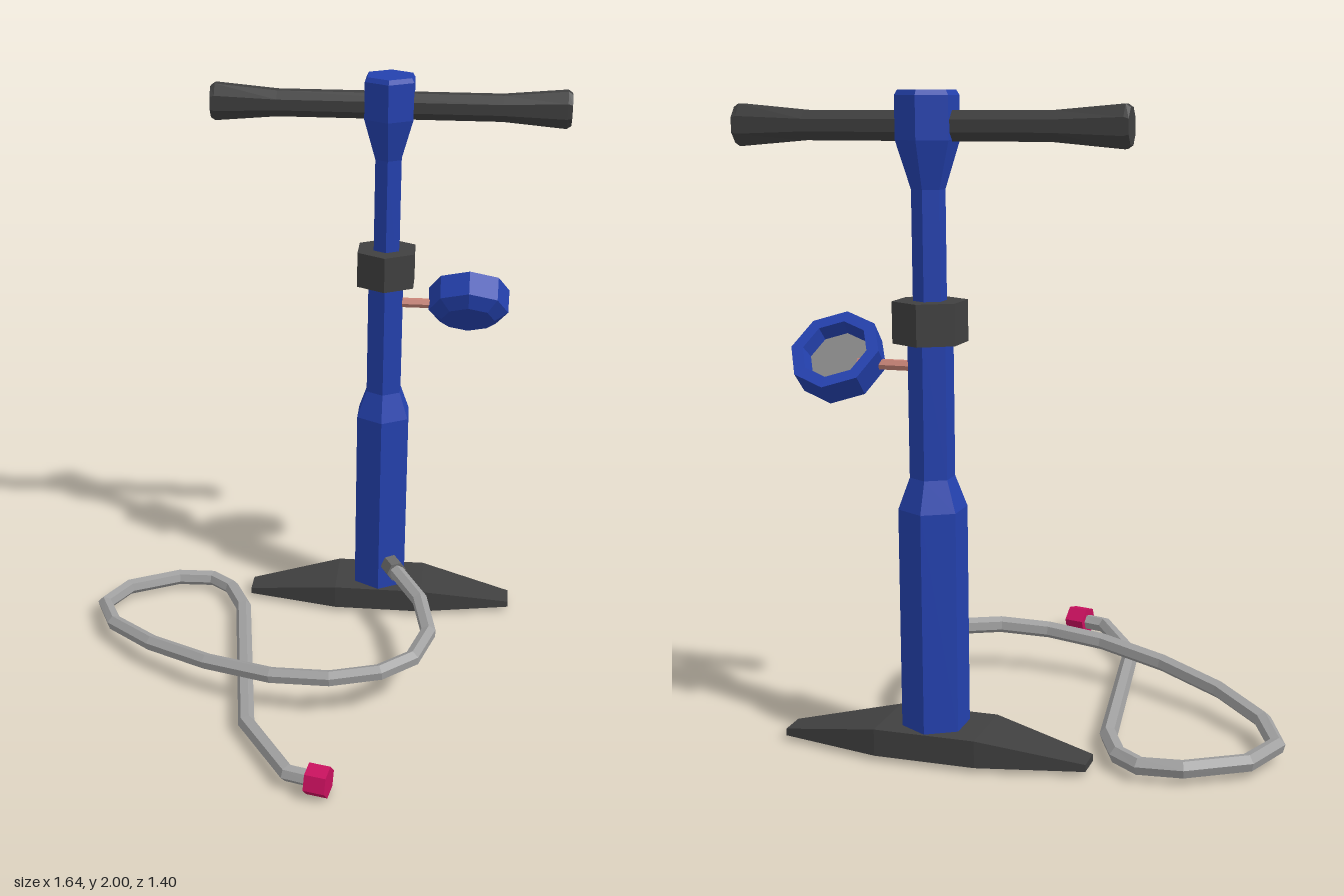
import * as THREE from 'three';

const material = (name, color) => {
  const m = new THREE.MeshStandardMaterial({ color, flatShading: true });
  m.name = name;
  return m;
};

export function createModel() {
  const blue = material('blue paint', 0x2441ae);
  const dark = material('dark rubber', 0x404040);
  const grey = material('hose grey', 0xa0a0a0);
  const steel = material('connector grey', 0x6c6c6c);
  const dialGrey = material('dial grey', 0x858585);
  const copper = material('copper', 0xc98478);
  const pink = material('pink', 0xc8105e);

  const model = new THREE.Group();
  model.name = 'floorPump';
  // Everything on the pump's own axis goes in this group
  const pump = new THREE.Group();
  pump.name = 'pumpBody';
  pump.position.set(0.215, 0, -0.565);
  model.add(pump);

  const add = (parent, name, geometry, mat) => {
    const g = geometry.index ? geometry.toNonIndexed() : geometry;
    g.computeVertexNormals();
    const mesh = new THREE.Mesh(g, mat);
    mesh.name = name;
    parent.add(mesh);
    return mesh;
  };
  const lathe = (points, sides) =>
    new THREE.LatheGeometry(points.map(([r, y]) => new THREE.Vector2(r, y)), sides);
  const moveVertices = (geometry, rule) => {
    const p = geometry.attributes.position;
    const v = new THREE.Vector3();
    for (let i = 0; i < p.count; i++) {
      rule(v.fromBufferAttribute(p, i));
      p.setXYZ(i, v.x, v.y, v.z);
    }
    return geometry;
  };
  const up = new THREE.Vector3(0, 1, 0);
  const aim = (mesh, direction) =>
    mesh.quaternion.setFromUnitVectors(up, direction.clone().normalize());

  // Foot plate: a box in three bays, tapered towards both ends
  const footX = [-0.485, -0.16, 0.16, 0.485];
  const foot = moveVertices(new THREE.BoxGeometry(3, 1, 1, 3, 1, 1), (v) => {
    const column = Math.round(v.x + 1.5);
    const isEnd = column === 0 || column === 3;
    v.x = footX[column];
    v.y = v.y < 0 ? 0.02 : isEnd ? 0.042 : 0.104;
    v.z = Math.sign(v.z) * (isEnd ? 0.042 : 0.11);
  });
  add(pump, 'footPlate', foot, dark);

  // Barrel, collar and plunger are six-sided
  add(pump, 'barrel', lathe([[0, 0.09], [0.104, 0.09], [0.104, 0.78], [0.068, 0.875], [0.068, 1.3], [0, 1.3]], 6), blue);
  add(pump, 'collar', lathe([[0, 1.277], [0.112, 1.277], [0.112, 1.4], [0, 1.4]], 6), dark);
  add(pump, 'plunger', lathe([[0, 1.3], [0.05, 1.3], [0.05, 1.72], [0.094, 1.86], [0.094, 1.985], [0.085, 2], [0, 2]], 6), blue);

  // Handle: eight-sided bar, even in depth, with taller grips at the ends
  const handleX = [0.6, 0.585, 0.375, -0.375, -0.585, -0.6];
  const handleR = [0.056, 0.067, 0.047, 0.047, 0.067, 0.056];
  const bar = new THREE.CylinderGeometry(1, 1, 5, 8, 5);
  bar.rotateY(Math.PI / 8).rotateZ(-Math.PI / 2);
  moveVertices(bar, (v) => {
    const row = Math.round(2.5 - v.x);
    v.x = handleX[row];
    v.y *= handleR[row];
    v.z *= 0.043;
  });
  add(pump, 'handle', bar, dark).position.y = 1.9;

  // Pressure gauge: tilted eight-sided bowl with a recessed dial
  const stem = new THREE.CylinderGeometry(0.017, 0.017, 0.2, 6);
  stem.rotateZ(Math.PI / 2);
  add(pump, 'gaugeStem', stem, copper).position.set(0.13, 1.205, 0);

  const gauge = new THREE.Group();
  gauge.name = 'gauge';
  gauge.position.set(0.29, 1.25, -0.035);
  gauge.rotation.x = -Math.PI / 4;
  pump.add(gauge);
  add(gauge, 'gaugeBowl', lathe([[0, -0.118], [0.092, -0.118], [0.138, -0.085], [0.14, 0], [0.102, 0], [0.092, -0.045]], 8), blue);
  add(gauge, 'gaugeDial', lathe([[0.092, -0.045], [0, -0.045]], 8), dialGrey);

  // Hose: six-sided tube with one section at each bend
  const bends = [
    [0.255, 0.2, -0.49], [0.377, 0.2, -0.238], [0.415, 0.19, -0.04], [0.367, 0.178, 0.108],
    [0.26, 0.168, 0.19], [0.095, 0.154, 0.223], [-0.105, 0.138, 0.2], [-0.34, 0.117, 0.107],
    [-0.557, 0.094, -0.024], [-0.725, 0.07, -0.18], [-0.793, 0.055, -0.333], [-0.73, 0.05, -0.47],
    [-0.555, 0.048, -0.567], [-0.425, 0.046, -0.576], [-0.345, 0.046, -0.515], [-0.28, 0.046, -0.378],
    [-0.168, 0.046, 0.35], [-0.003, 0.053, 0.612], [0.1, 0.054, 0.64],
  ].map((p) => new THREE.Vector3(...p));
  const path = new THREE.CatmullRomCurve3(bends);
  path.getPointAt = path.getPoint;
  path.getTangentAt = path.getTangent;
  add(model, 'hose', new THREE.TubeGeometry(path, bends.length - 1, 0.028, 6), grey);

  // Fittings at both ends of the hose
  const connector = add(model, 'hoseConnector', new THREE.CylinderGeometry(0.038, 0.038, 0.12, 6), steel);
  connector.position.set(0.258, 0.2, -0.482);
  aim(connector, new THREE.Vector3(0.45, 0, 0.9));

  const nozzle = add(model, 'nozzle', new THREE.CylinderGeometry(0.052, 0.052, 0.07, 6), pink);
  nozzle.position.set(0.1, 0.054, 0.642);
  aim(nozzle, new THREE.Vector3(0.97, 0, 0.22));

  return model;
}
